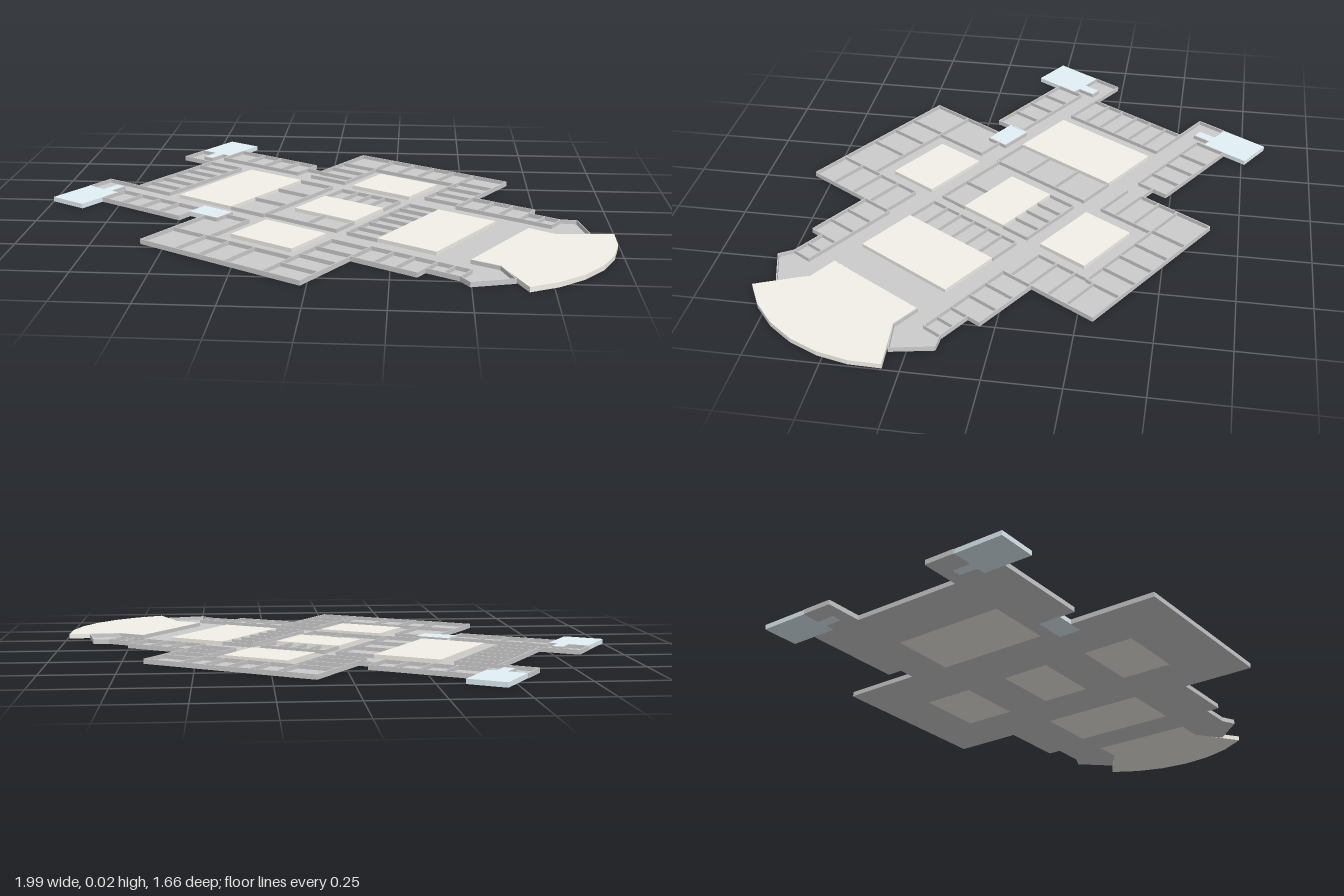
import * as THREE from 'three';

const H = 0.017;      // wall and block height
const FLOOR = 0.003;  // floor slab thickness
const THICK = 0.004;  // wall thickness

const grey = new THREE.MeshStandardMaterial({ color: 0xcccccc });
const beige = new THREE.MeshStandardMaterial({ color: 0xf3f0e8 });
const blue = new THREE.MeshStandardMaterial({ color: 0xe2f0f7 });

const toShape = (pts) => new THREE.Shape(pts.map(([u, v]) => new THREE.Vector2(u, v)));
const rect = (u0, u1, v0, v1) => [[u0, v0], [u1, v0], [u1, v1], [u0, v1]];

// Flat slab from a plan polygon, standing on y = 0
function slab(name, pts, height, material, holes = []) {
  const shape = toShape(pts);
  holes.forEach((h) => shape.holes.push(toShape(h)));
  const geo = new THREE.ExtrudeGeometry(shape, { depth: height, bevelEnabled: false });
  geo.rotateX(Math.PI / 2).translate(0, height, 0);
  const mesh = new THREE.Mesh(geo, material);
  mesh.name = name;
  return mesh;
}

// Thin upright wall between two plan points
function wall(name, u0, v0, u1, v1) {
  const len = Math.hypot(u1 - u0, v1 - v0);
  const mesh = new THREE.Mesh(new THREE.BoxGeometry(len, H, THICK), grey);
  mesh.position.set((u0 + u1) / 2, H / 2, (v0 + v1) / 2);
  mesh.rotation.y = -Math.atan2(v1 - v0, u1 - u0);
  mesh.name = name;
  return mesh;
}

// Points on an arc through two symmetric ends and a middle bulge
function arc(uEnd, uMid, half, n) {
  const sag = uMid - uEnd;
  const r = (half * half + sag * sag) / (2 * sag);
  const a = Math.asin(half / r);
  return Array.from({ length: n + 1 }, (_, i) => {
    const t = -a + (2 * a * i) / n;
    return [uMid - r + r * Math.cos(t), 0.042 + r * Math.sin(t)];
  });
}

export function createModel() {
  const root = new THREE.Group();
  root.name = 'floorPlan';
  const plan = new THREE.Group();
  plan.name = 'building';
  plan.rotation.y = -0.555;
  root.add(plan);

  // Courtyards
  const courts = [
    rect(-0.485, -0.237, -0.17, 0.249),
    rect(-0.036, 0.218, -0.42, -0.225),
    rect(-0.04, 0.217, -0.055, 0.13),
    rect(-0.04, 0.217, 0.295, 0.488),
    rect(0.385, 0.615, -0.155, 0.238),
  ];
  courts.forEach((c) => plan.add(slab('courtyard', c, H, beige)));

  // Floor and outer walls
  const outline = [
    [-0.248, -0.61], [0.413, -0.61], [0.413, -0.353], [0.665, -0.353], [0.665, -0.303],
    [0.79, -0.303], [0.84, -0.328], [0.938, -0.222], [0.848, -0.153], [0.742, -0.155],
    [0.742, 0.238], [0.848, 0.235], [0.938, 0.306], [0.84, 0.413], [0.79, 0.388],
    [0.665, 0.388], [0.665, 0.437], [0.413, 0.437], [0.413, 0.705], [-0.248, 0.705],
    [-0.248, 0.382], [-0.192, 0.382], [-0.192, 0.297], [-0.316, 0.297], [-0.316, 0.44],
    [-0.692, 0.44], [-0.692, 0.36], [-0.725, 0.36], [-0.725, 0.29], [-0.765, 0.29],
    [-0.765, 0.36], [-0.84, 0.36], [-0.84, 0.248], [-0.692, 0.248], [-0.692, -0.17],
    [-0.83, -0.17], [-0.83, -0.283], [-0.765, -0.283], [-0.765, -0.215], [-0.725, -0.215],
    [-0.725, -0.283], [-0.692, -0.283], [-0.692, -0.373], [-0.314, -0.373],
    [-0.314, -0.315], [-0.248, -0.315],
  ];
  plan.add(slab('floor', outline, FLOOR, grey, courts));
  outline.forEach((p, i) => {
    const q = outline[(i + 1) % outline.length];
    plan.add(wall('outerWall', ...p, ...q));
  });

  // Curved hall and fan-shaped terrace
  const inner = arc(0.848, 0.895, 0.194, 12);
  const outer = arc(1.006, 1.107, 0.306, 6);
  plan.add(slab('curvedHall', [[0.742, -0.155], ...inner, [0.742, 0.238]], H, beige));
  plan.add(slab('terrace', [...outer, ...inner.slice().reverse()], H, beige));

  // Blue end blocks, each with a narrow tongue, and the side lobby
  const endBlock = (u, v0, v1, vt) => slab('endBlock', [
    [u, v0], [-0.692, v0], [-0.692, v1], [-0.725, v1], [-0.725, vt],
    [-0.765, vt], [-0.765, v1], [u, v1],
  ], H, blue);
  plan.add(endBlock(-0.83, -0.467, -0.283, -0.215));
  plan.add(endBlock(-0.84, 0.543, 0.36, 0.29));
  plan.add(slab('sideLobby', rect(-0.32, -0.252, 0.297, 0.382), H, blue));
  plan.add(slab('sideLobby', rect(-0.252, -0.192, 0.297, 0.382), H, blue));

  // Rows of rooms: corridor walls (first and last) and dividers
  const rowU = (v0, v1, us, corridor) => {
    us.forEach((u) => plan.add(wall('roomDivider', u, v0, u, v1)));
    plan.add(wall('corridorWall', us[0], corridor, us[us.length - 1], corridor));
  };
  const rowV = (u0, u1, vs, corridor) => {
    vs.forEach((v) => plan.add(wall('roomDivider', u0, v, u1, v)));
    plan.add(wall('corridorWall', corridor, vs[0], corridor, vs[vs.length - 1]));
  };
  // West wing
  rowU(-0.373, -0.25, [-0.692, -0.58, -0.49, -0.4, -0.314], -0.25);
  rowU(0.325, 0.44, [-0.692, -0.6, -0.51, -0.42, -0.316], 0.325);
  rowV(-0.692, -0.535, [-0.17, -0.1, -0.03, 0.04, 0.11, 0.18, 0.249], -0.535);
  // North wing
  rowU(-0.61, -0.47, [-0.1, 0.0, 0.09, 0.18, 0.27], -0.47);
  rowV(-0.248, -0.09, [-0.47, -0.39, -0.31, -0.25], -0.09);
  rowV(0.265, 0.413, [-0.5, -0.42, -0.34, -0.26], 0.265);
  // South wing
  rowU(0.545, 0.705, [-0.1, 0.0, 0.11, 0.265], 0.545);
  rowV(-0.248, -0.09, [0.33, 0.545], -0.09);
  rowV(0.265, 0.413, [0.33, 0.42, 0.51, 0.61], 0.265);
  // East wing
  rowU(-0.353, -0.23, [0.413, 0.5, 0.58, 0.665], -0.23);
  rowU(0.315, 0.437, [0.413, 0.5, 0.58, 0.665], 0.315);
  // Rooms around the middle courtyard
  rowV(0.262, 0.385, [-0.155, -0.09, -0.025, 0.04, 0.105, 0.17, 0.238], 0.262);
  rowU(-0.165, -0.055, [-0.04, 0.03, 0.09, 0.15, 0.217], -0.165);
  rowV(-0.237, -0.09, [-0.17, -0.03, 0.11, 0.249], -0.09);
  rowU(0.13, 0.238, [-0.09, 0.09, 0.217], 0.238);
  // Entrance rooms beside the hall
  [[-0.303, -0.23], [0.388, 0.315]].forEach(([a, b]) => {
    plan.add(wall('roomDivider', 0.73, a, 0.73, b));
    plan.add(wall('roomDivider', 0.79, a, 0.79, b));
    plan.add(wall('corridorWall', 0.665, b, 0.79, b));
  });

  return root;
}
